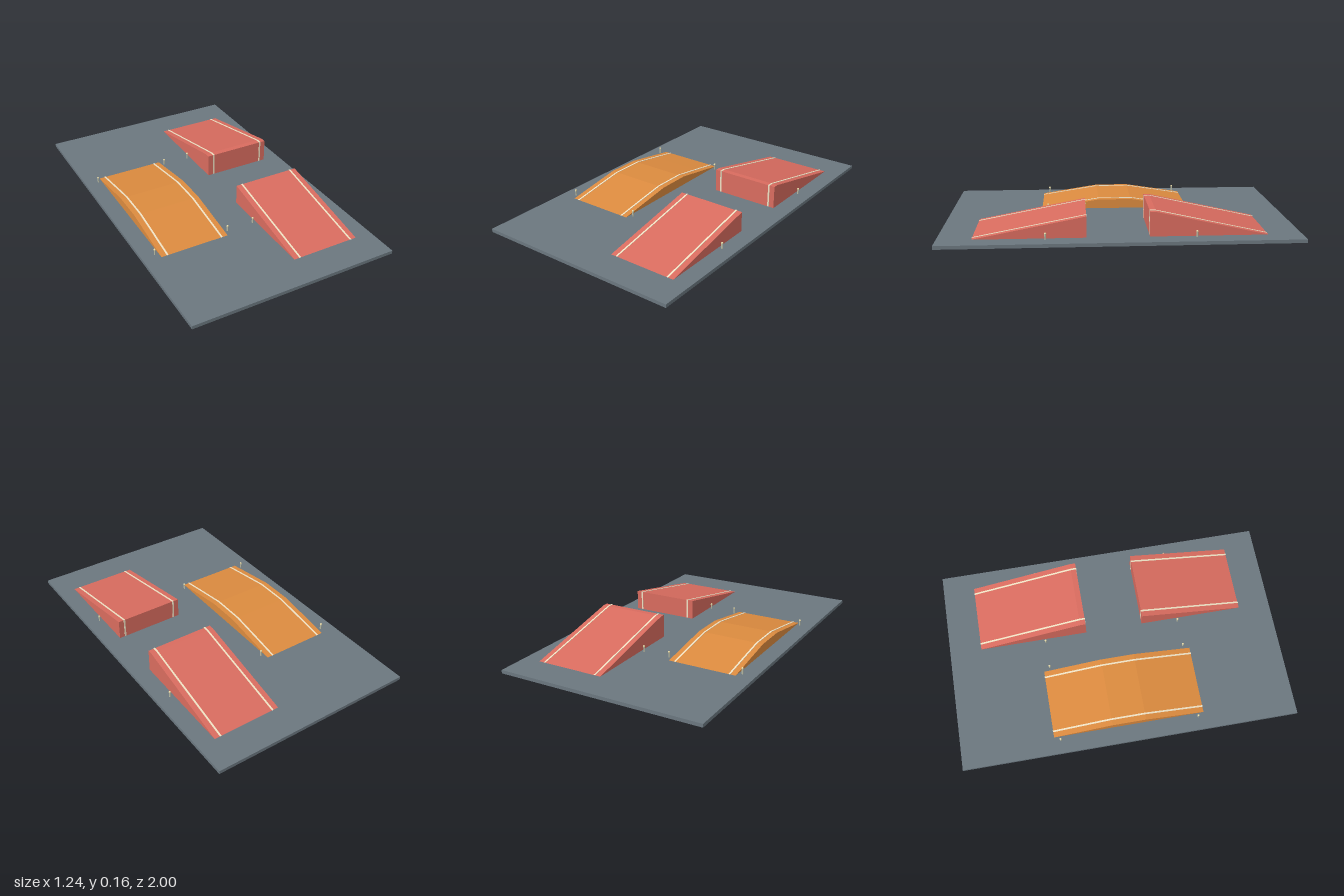
import * as THREE from 'three';

const BASE = 0.02; // top of the ground slab
const mat = (color) => new THREE.MeshStandardMaterial({ color, flatShading: true });

// Extrudes a [z, y] side profile along x, centred on x
function profileMesh(name, points, x, width, material) {
  const shape = new THREE.Shape(points.map(([z, y]) => new THREE.Vector2(z, y)));
  const geo = new THREE.ExtrudeGeometry(shape, { depth: width, bevelEnabled: false });
  geo.translate(0, 0, -width / 2).rotateY(-Math.PI / 2);
  const mesh = new THREE.Mesh(geo, material);
  mesh.name = name;
  mesh.position.x = x;
  return mesh;
}

// Ramp body with two edge stripes that wrap over its surface
function ramp(name, points, x, material, stripeMat) {
  const group = new THREE.Group();
  group.name = name;
  group.add(profileMesh(name + 'Body', points, x, 0.412, material));
  const zs = points.map((p) => p[0]);
  const mid = (Math.min(...zs) + Math.max(...zs)) / 2;
  const raised = points.map(([z, y]) => [z + Math.sign(z - mid) * 0.002, y > BASE ? y + 0.002 : y + 0.0015]);
  for (const side of [-1, 1]) {
    group.add(profileMesh(name + 'Stripe', raised, x + side * 0.169, 0.01, stripeMat));
  }
  return group;
}

export function createModel() {
  const model = new THREE.Group();
  const slate = mat(0x6b777f), red = mat(0xd96c5f), orange = mat(0xdc8b3f);
  const cream = mat(0xf0e2c4), postMat = mat(0xb9bca6), capMat = mat(0xe6d9a8);

  // Ground slab
  const slab = new THREE.Mesh(new THREE.BoxGeometry(1.236, BASE, 2), slate);
  slab.name = 'groundSlab';
  slab.position.y = BASE / 2;
  model.add(slab);

  // Take-off and landing ramps, and the low hump beside them
  model.add(ramp('frontRamp', [[0.19, BASE], [0.81, BASE], [0.19, 0.139]], 0.309, red, cream));
  model.add(ramp('backRamp', [[-0.81, BASE], [-0.157, BASE], [-0.157, 0.158], [-0.19, 0.158]], 0.309, red, cream));
  model.add(ramp('hump', [[-0.45, BASE], [0.45, BASE], [0.28, 0.047], [0.1, 0.075],
    [-0.1, 0.075], [-0.28, 0.047]], -0.311, orange, cream));

  // Marker posts with small caps beside the ramps
  const postGeo = new THREE.CylinderGeometry(0.005, 0.005, 0.034, 8);
  const capGeo = new THREE.SphereGeometry(0.0065, 8, 6);
  for (const x of [-0.539, -0.084, 0.082, 0.537]) {
    for (const z of [-0.412, 0.412]) {
      const marker = new THREE.Group();
      marker.name = 'markerPost';
      const post = new THREE.Mesh(postGeo, postMat);
      post.name = 'post';
      post.position.y = 0.017;
      const cap = new THREE.Mesh(capGeo, capMat);
      cap.name = 'cap';
      cap.position.y = 0.033;
      marker.add(post, cap);
      marker.position.set(x, BASE, z);
      model.add(marker);
    }
  }
  return model;
}
